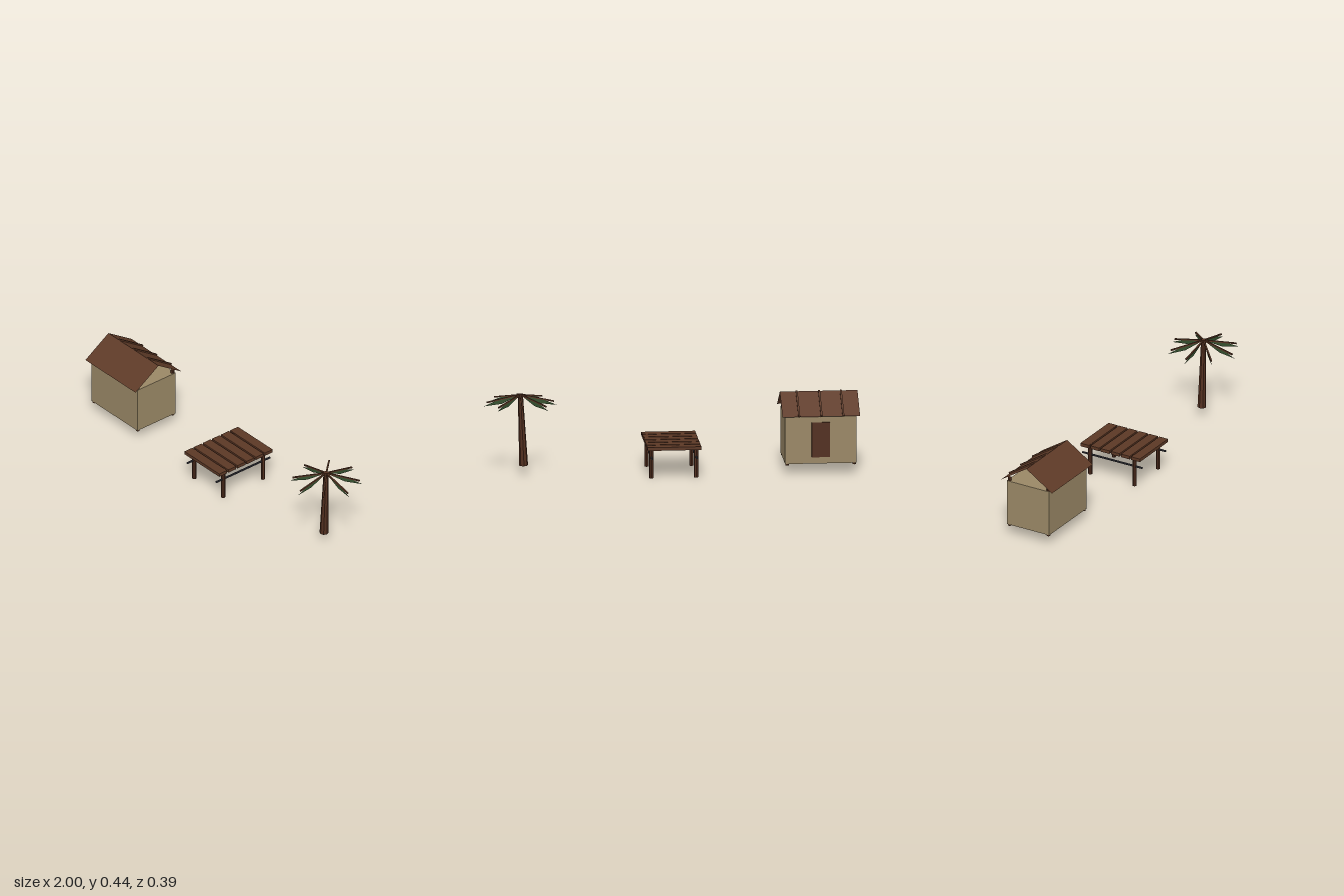
import * as THREE from 'three';

const mat = (name, color, extra = {}) => {
  const m = new THREE.MeshStandardMaterial({ color, ...extra });
  m.name = name;
  return m;
};

export function createModel() {
  const flat = { flatShading: true };
  const wall = mat('mud wall', 0x9a8866);
  const roofMat = mat('roof thatch', 0x5e3a27, { side: THREE.DoubleSide });
  const wood = mat('plank wood', 0x5c3825, flat);
  const darkWood = mat('dark wood', 0x522f1f, flat);
  const metal = mat('grey rail', 0x35353d, flat);
  const leaf = mat('leaf green', 0x35502e, { side: THREE.DoubleSide });

  const add = (parent, name, geo, material, x = 0, y = 0, z = 0) => {
    const m = new THREE.Mesh(geo, material);
    m.name = name;
    m.position.set(x, y, z);
    parent.add(m);
    return m;
  };
  const group = (parent, name, x) => {
    const g = new THREE.Group();
    g.name = name;
    g.position.x = x;
    parent.add(g);
    return g;
  };
  const model = new THREE.Group();
  model.name = 'beachCamp';

  // Hut: closed block, corner posts, two thin roof sheets with open gables
  const hut = group(model, 'hut', -0.793);
  add(hut, 'walls', new THREE.BoxGeometry(0.382, 0.257, 0.265), wall, 0, 0.1885, 0);
  for (const sx of [-1, 1]) for (const sz of [-1, 1])
    add(hut, 'cornerPost', new THREE.CylinderGeometry(0.01, 0.01, 0.285, 8), wood, sx * 0.179, 0.1935, sz * 0.121);
  add(hut, 'door', new THREE.BoxGeometry(0.098, 0.19, 0.008), darkWood, 0, 0.19, -0.134);

  const run = 0.16, rise = 0.104, ridgeY = 0.426;
  const slope = Math.hypot(run, rise), pitch = Math.atan2(rise, run);
  for (const s of [-1, 1]) {
    const side = group(hut, s > 0 ? 'frontRoof' : 'backRoof', 0);
    side.position.set(0, ridgeY - rise / 2, s * run / 2);
    side.rotation.x = s * pitch;
    add(side, 'roofSheet', new THREE.PlaneGeometry(0.415, slope).rotateX(-Math.PI / 2), roofMat);
    // battens only on the back slope
    if (s < 0) for (const x of [-0.118, -0.002, 0.118])
      add(side, 'roofBatten', new THREE.BoxGeometry(0.01, 0.011, slope), wood, x, 0.002, 0);
  }

  // Table: six slats on four legs with two long rails
  const table = group(model, 'table', -0.005);
  for (let i = 0; i < 6; i++)
    add(table, 'slat', new THREE.BoxGeometry(0.288, 0.018, 0.054), wood, 0, 0.169, (i - 2.5) * 0.0635);
  for (const sx of [-1, 1]) {
    for (const sz of [-1, 1])
      add(table, 'tableLeg', new THREE.CylinderGeometry(0.0115, 0.0115, 0.177, 8), darkWood, sx * 0.12, 0.0885, sz * 0.138);
    add(table, 'rail', new THREE.CylinderGeometry(0.0055, 0.0055, 0.374, 8).rotateX(Math.PI / 2), metal, sx * 0.12, 0.115, 0);
  }

  // Palm: leaning tapered trunk with eight fronds
  const palm = group(model, 'palm', 0.803);
  const trunk = add(palm, 'trunk', new THREE.CylinderGeometry(0.0135, 0.0235, 0.392, 8), darkWood, -0.009, 0.248, 0);
  trunk.rotation.z = -0.045;

  const blade = new THREE.Shape();
  blade.moveTo(0.01, 0.434);
  blade.lineTo(0.1, 0.391);
  blade.lineTo(0.195, 0.379);
  blade.lineTo(0.13, 0.408);
  const bladeGeo = new THREE.ShapeGeometry(blade);
  const ribDrop = 0.039, ribRun = 0.18;
  for (let i = 0; i < 8; i++) {
    const frond = group(palm, 'frond', 0);
    frond.rotation.y = i * Math.PI / 4;
    add(frond, 'leafBlade', bladeGeo, leaf);
    const rib = add(frond, 'frondRib', new THREE.BoxGeometry(Math.hypot(ribDrop, ribRun), 0.007, 0.008), wood,
      ribRun / 2, 0.439 - ribDrop / 2, 0);
    rib.rotation.z = -Math.atan2(ribDrop, ribRun);
  }
  return model;
}
